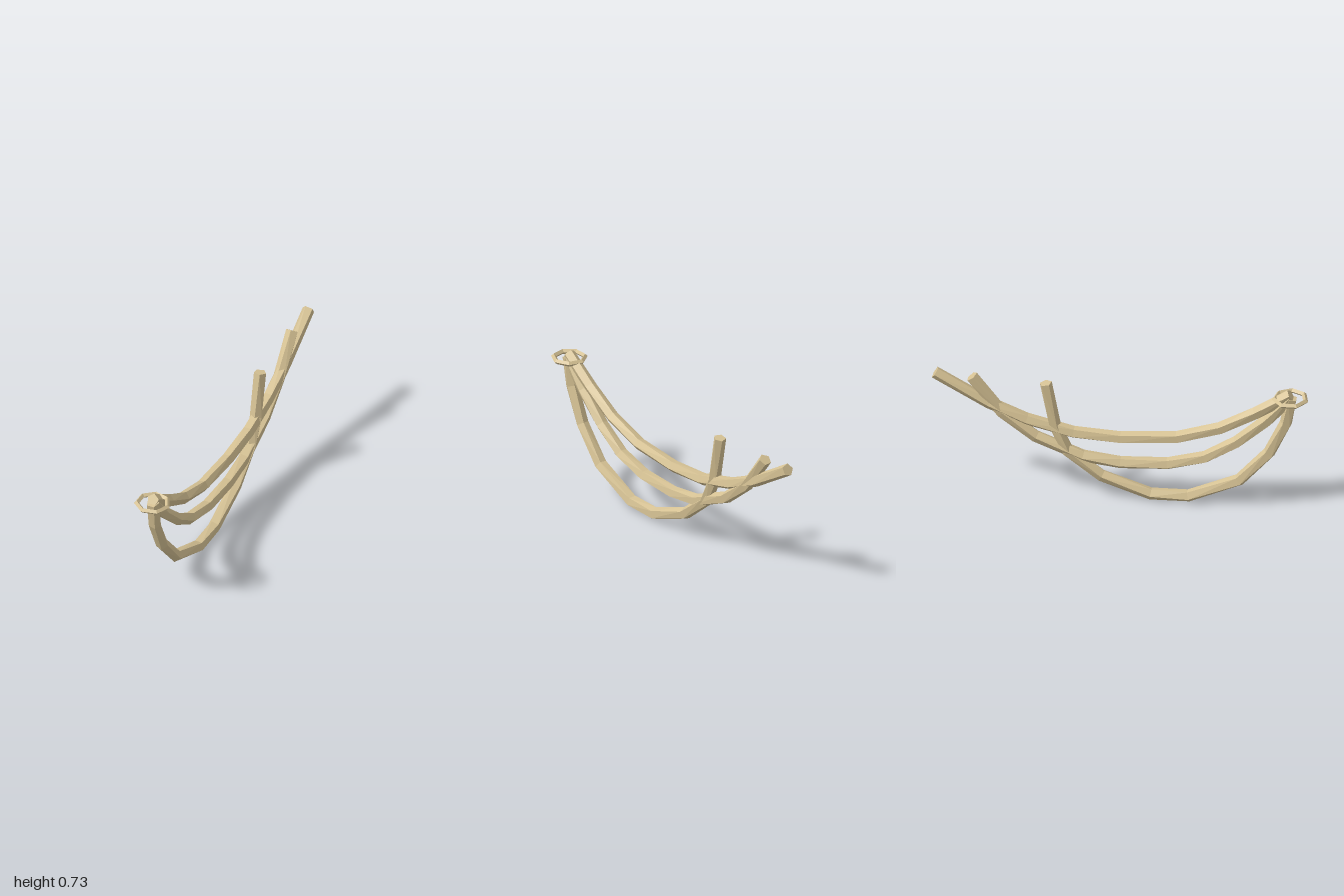
import * as THREE from 'three';

const SIDES = 5;
const RADIUS = 0.034;
const CENTER_X = -0.005;

// Centre lines as [z, y], from the ring to the free end
const ROPES = {
  upperRope: [[0.905, 0.693], [0.72, 0.57], [0.53, 0.463], [0.3, 0.39], [0, 0.367],
    [-0.25, 0.383], [-0.5, 0.448], [-0.7, 0.535], [-0.985, 0.702]],
  middleRope: [[0.905, 0.675], [0.78, 0.53], [0.62, 0.385], [0.45, 0.278], [0.25, 0.225],
    [0, 0.215], [-0.2, 0.243], [-0.45, 0.347], [-0.63, 0.485], [-0.79, 0.69]],
  lowerRope: [[0.908, 0.675], [0.88, 0.52], [0.79, 0.33], [0.63, 0.15], [0.36, 0.035],
    [0.16, 0.035], [-0.1, 0.13], [-0.28, 0.27], [-0.35, 0.42], [-0.398, 0.675]],
};

// Five-sided tube with a slight twist and closed ends
function ropeGeometry(path, twist) {
  const pts = path.map(([z, y]) => new THREE.Vector3(CENTER_X, y, z));
  const last = pts.length - 1;
  const verts = [];
  const index = [];

  pts.forEach((p, i) => {
    const before = i > 0 ? p.clone().sub(pts[i - 1]).normalize() : new THREE.Vector3();
    const after = i < last ? pts[i + 1].clone().sub(p).normalize() : new THREE.Vector3();
    const t = before.add(after).normalize();
    for (let k = 0; k < SIDES; k++) {
      const a = (k / SIDES) * Math.PI * 2 + i * twist;
      const up = Math.cos(a) * RADIUS;
      verts.push(p.x + Math.sin(a) * RADIUS, p.y - t.z * up, p.z + t.y * up);
    }
  });
  const startCap = verts.length / 3;
  verts.push(...pts[0].toArray(), ...pts[last].toArray());

  for (let k = 0; k < SIDES; k++) {
    const n = (k + 1) % SIDES;
    for (let i = 0; i < last; i++) {
      const a = i * SIDES + k, b = i * SIDES + n;
      index.push(a, b, a + SIDES, b, b + SIDES, a + SIDES);
    }
    index.push(startCap, n, k);
    index.push(startCap + 1, last * SIDES + k, last * SIDES + n);
  }

  const g = new THREE.BufferGeometry();
  g.setAttribute('position', new THREE.Float32BufferAttribute(verts, 3));
  g.setIndex(index);
  const flat = g.toNonIndexed();
  flat.computeVertexNormals();
  return flat;
}

export function createModel() {
  const group = new THREE.Group();
  group.name = 'hangingRopes';
  const hemp = new THREE.MeshStandardMaterial({ color: 0xd6c294, flatShading: true });
  hemp.name = 'hemp';

  // Sagging ropes
  Object.entries(ROPES).forEach(([name, path], i) => {
    const rope = new THREE.Mesh(ropeGeometry(path, 0.12 + i * 0.03), hemp);
    rope.name = name;
    group.add(rope);
  });

  // Seven-sided ring lying flat around the gathered ends
  const ring = new THREE.Mesh(new THREE.TorusGeometry(0.085, 0.014, 4, 7).rotateX(Math.PI / 2), hemp);
  ring.name = 'ring';
  ring.position.set(-0.006, 0.671, 0.9035);
  group.add(ring);

  return group;
}
